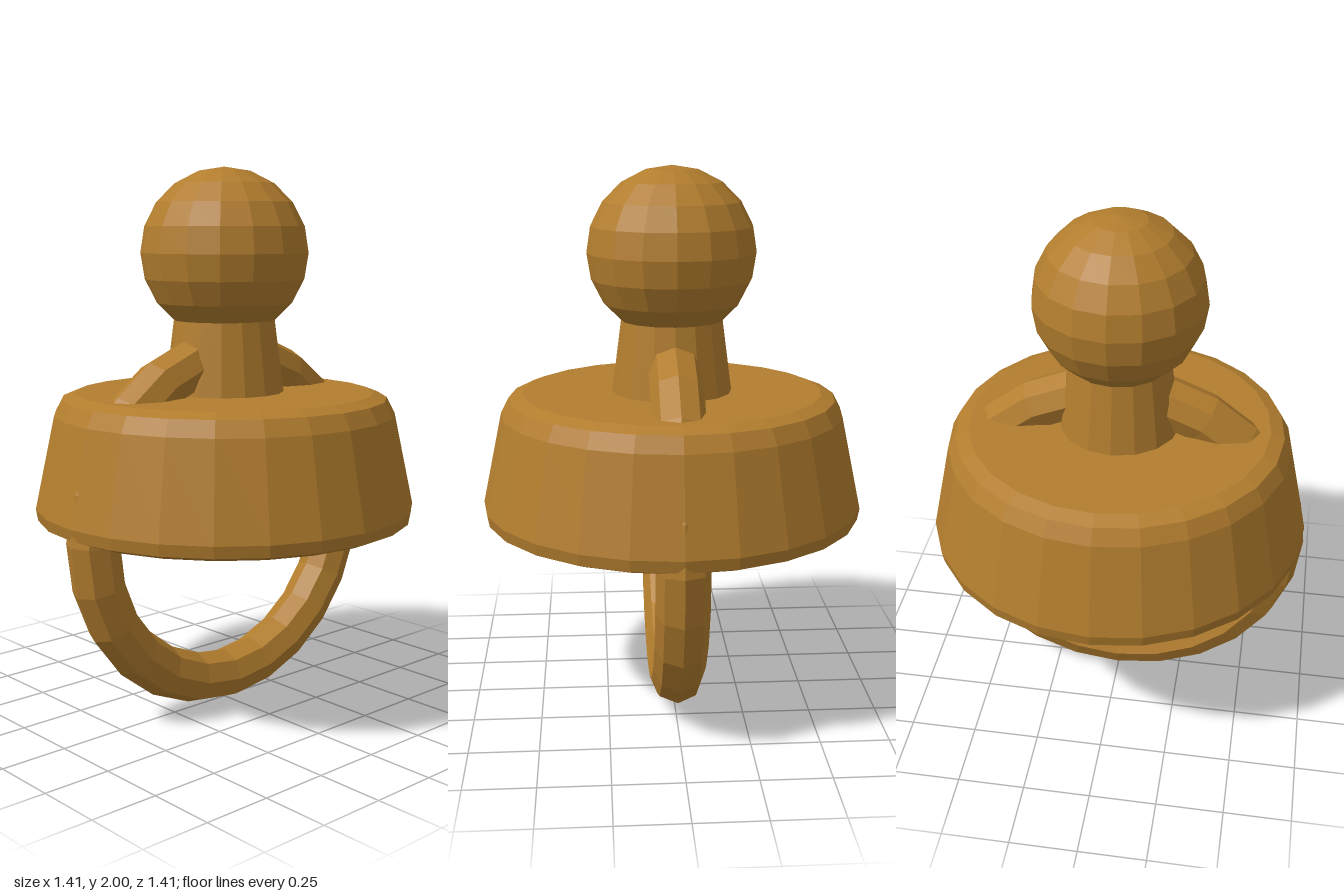
import * as THREE from 'three';

export function createModel() {
  const group = new THREE.Group();
  const material = new THREE.MeshStandardMaterial({ color: 0xb27d2e, flatShading: true });

  const add = (name, geometry, y) => {
    const mesh = new THREE.Mesh(geometry, material);
    mesh.name = name;
    mesh.position.y = y;
    group.add(mesh);
    return mesh;
  };

  // Tapered disc with bevelled rims
  const profile = [
    [0, 0.71], [0.655, 0.71], [0.695, 0.727], [0.703, 0.77],
    [0.63, 1.11], [0.6, 1.167], [0.55, 1.187], [0, 1.187],
  ].map(([r, y]) => new THREE.Vector2(r, y));
  add('disc', new THREE.LatheGeometry(profile, 24), 0);

  // Tapered neck, running from inside the disc into the knob
  add('neck', new THREE.CylinderGeometry(0.18, 0.222, 0.32, 16), 1.33);

  // Round knob
  add('knob', new THREE.SphereGeometry(0.307, 16, 10), 1.693);

  // Upright ring passing through the disc
  const ring = add('ring', new THREE.TorusGeometry(0.611, 0.094, 8, 24), 0.705);
  ring.rotation.y = Math.PI / 2;

  return group;
}
